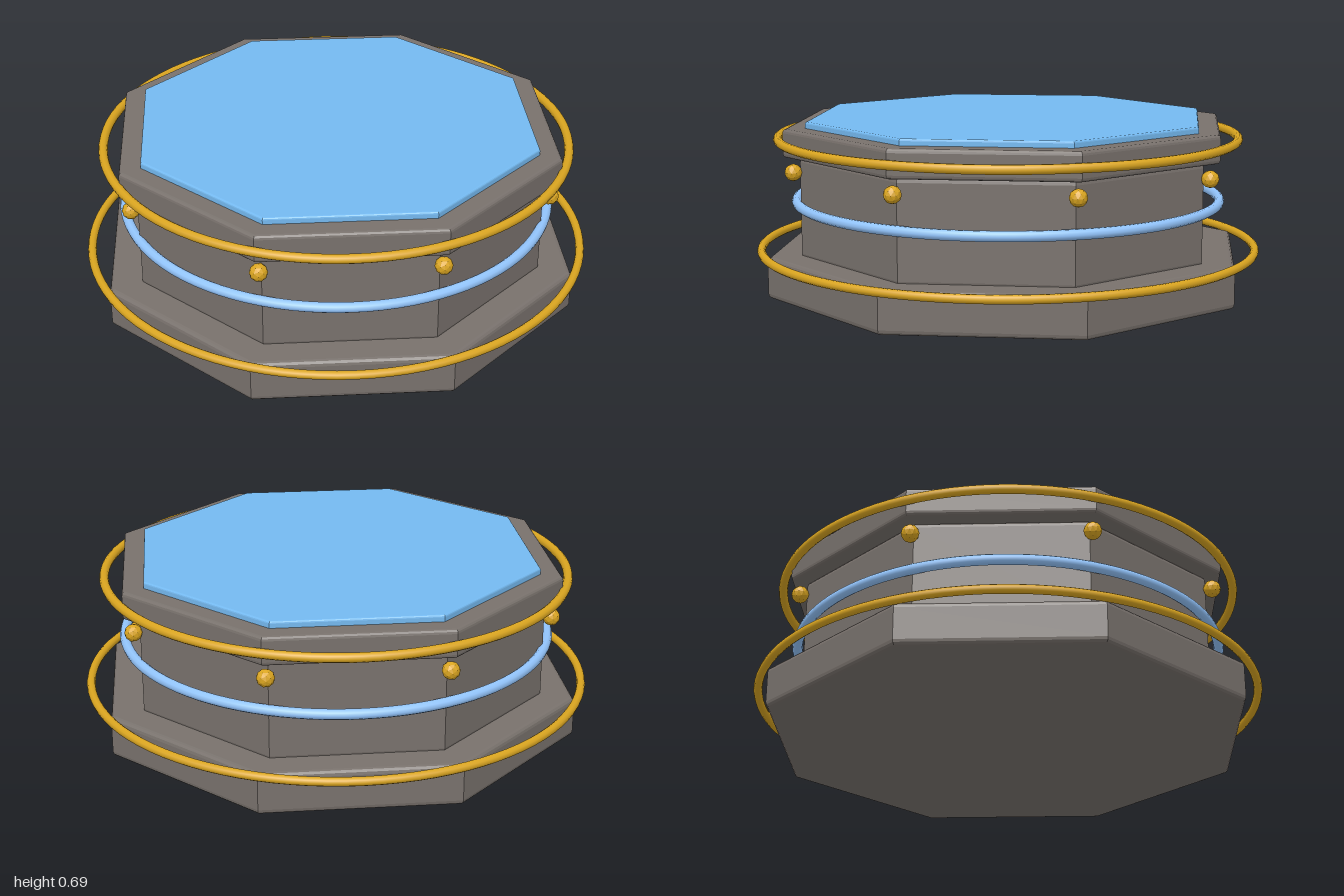
import * as THREE from 'three';

const material = (color, flatShading = false) => new THREE.MeshStandardMaterial({ color, flatShading });

export function createModel() {
  const group = new THREE.Group();
  const stone = material(0x78716c, true);
  const gold = material(0xdaa520);
  const paleBlue = material(0x93c5fd);
  const blue = material(0x74b9f0, true);

  const add = (name, geometry, mat, y = 0) => {
    const mesh = new THREE.Mesh(geometry, mat);
    mesh.name = name;
    mesh.position.y = y;
    group.add(mesh);
    return mesh;
  };

  // Octagonal slab with rounded rims; apothem is the centre-to-flat distance
  const slab = (name, apothem, y0, y1, bevel, mat) => {
    const r = apothem / Math.cos(Math.PI / 8);
    const points = [new THREE.Vector2(0, y0)];
    const steps = 3;
    for (const top of [false, true]) {
      for (let i = 0; i <= steps; i++) {
        const a = (i / steps - (top ? 0 : 1)) * Math.PI / 2;
        const cy = top ? y1 - bevel : y0 + bevel;
        points.push(new THREE.Vector2(r - bevel + bevel * Math.cos(a), cy + bevel * Math.sin(a)));
      }
    }
    points.push(new THREE.Vector2(0, y1));
    add(name, new THREE.LatheGeometry(points, 8, Math.PI / 8), mat);
  };

  slab('base', 0.896, 0, 0.163, 0.02, stone);
  slab('body', 0.772, 0.15, 0.55, 0.02, stone);
  slab('cap', 0.833, 0.55, 0.66, 0.015, stone);
  slab('topPanel', 0.752, 0.65, 0.685, 0.008, blue);

  // Horizontal hoops around the body
  const hoop = (name, outer, tube, y, mat) => {
    const geometry = new THREE.TorusGeometry(outer - tube, tube, 10, 96);
    geometry.rotateX(Math.PI / 2);
    add(name, geometry, mat, y);
  };
  hoop('lowerHoop', 1.0, 0.017, 0.163, gold);
  hoop('middleHoop', 0.86, 0.02, 0.356, paleBlue);
  hoop('upperHoop', 0.928, 0.018, 0.604, gold);

  // Studs at the eight corners of the body
  const studGeometry = new THREE.IcosahedronGeometry(0.034, 1);
  const studGold = material(0xdaa520, true);
  for (let i = 0; i < 8; i++) {
    const a = (i + 0.5) * Math.PI / 4;
    const stud = add('stud' + (i + 1), studGeometry, studGold, 0.491);
    stud.position.x = 0.863 * Math.cos(a);
    stud.position.z = 0.863 * Math.sin(a);
  }

  return group;
}
